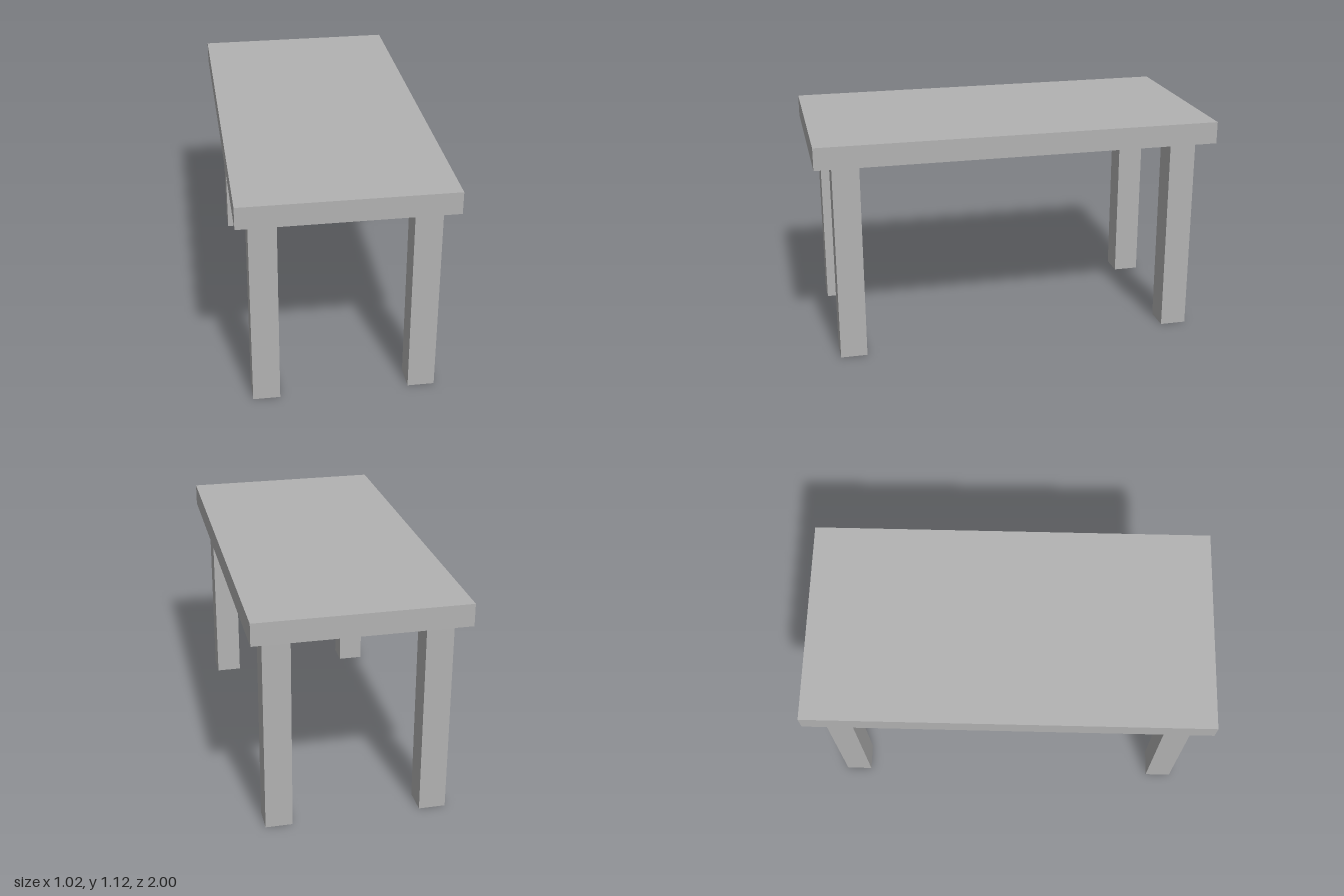
import * as THREE from 'three';

export function createModel() {
  const table = new THREE.Group();
  table.name = 'table';
  const grey = new THREE.MeshStandardMaterial({ color: 0xb2b2b2 });
  grey.name = 'grey';

  const legHeight = 1.005, legWidth = 0.132, topThickness = 0.11;

  // Slab top
  const top = new THREE.Mesh(new THREE.BoxGeometry(1.02, topThickness, 2), grey);
  top.name = 'tableTop';
  top.position.y = legHeight + topThickness / 2;
  table.add(top);

  // Four square legs, inset from the corners
  const legGeometry = new THREE.BoxGeometry(legWidth, legHeight, legWidth);
  for (const [zName, z] of [['front', 1], ['back', -1]]) {
    for (const [xName, x] of [['Left', 1], ['Right', -1]]) {
      const leg = new THREE.Mesh(legGeometry, grey);
      leg.name = `${zName}${xName}Leg`;
      leg.position.set(x * 0.382, legHeight / 2, z * 0.848);
      table.add(leg);
    }
  }
  return table;
}
